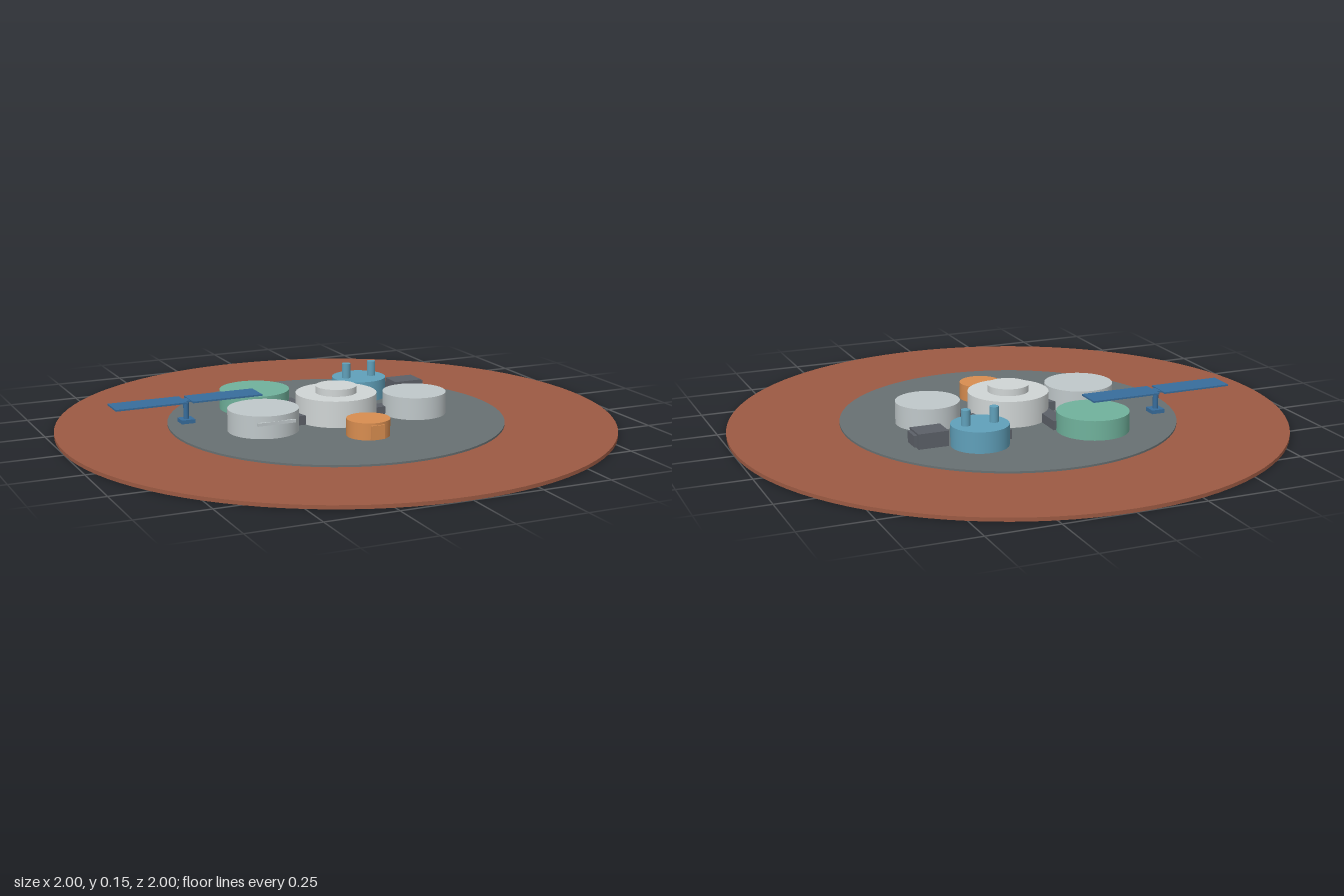
import * as THREE from 'three';

const mat = (color) => new THREE.MeshStandardMaterial({ color });
const M = {
  soil: mat(0x9c5a43), pad: mat(0x687072), hub: mat(0xd0d5d5), white: mat(0xc0c8ca),
  green: mat(0x70b29c), blue: mat(0x60a0ba), orange: mat(0xd88d50),
  solar: mat(0x386d9c), dark: mat(0x5c6068),
};

export function createModel() {
  const model = new THREE.Group();

  // Upright cylinder from y0 to y1
  const drum = (name, m, x, z, r, y0, y1, seg = 48) => {
    const mesh = new THREE.Mesh(new THREE.CylinderGeometry(r, r, y1 - y0, seg), m);
    mesh.position.set(x, (y0 + y1) / 2, z);
    mesh.name = name;
    model.add(mesh);
  };
  // Box given by its limits on each axis
  const box = (name, m, x0, x1, y0, y1, z0, z1) => {
    const mesh = new THREE.Mesh(new THREE.BoxGeometry(x1 - x0, y1 - y0, z1 - z0), m);
    mesh.position.set((x0 + x1) / 2, (y0 + y1) / 2, (z0 + z1) / 2);
    mesh.name = name;
    model.add(mesh);
  };

  // Ground and landing pad
  drum('ground', M.soil, 0, 0, 1, 0, 0.013, 96);
  drum('pad', M.pad, 0, 0, 0.603, 0.008, 0.02, 96);

  // Central hub with raised cap
  drum('hub', M.hub, 0, 0, 0.145, 0.02, 0.115);
  drum('hubCap', M.hub, 0, 0, 0.074, 0.115, 0.14);

  // Surrounding modules
  drum('rightHabitat', M.white, -0.3, 0.045, 0.125, 0.02, 0.1);
  drum('leftHabitat', M.white, 0.29, 0.047, 0.115, 0.02, 0.1);
  drum('greenhouse', M.green, -0.21, -0.263, 0.128, 0.02, 0.09);
  drum('plant', M.blue, 0.215, -0.263, 0.101, 0.02, 0.095);
  drum('airlock', M.orange, 0.004, 0.257, 0.076, 0.02, 0.08);

  // Window band, airlock door and plant chimneys
  box('windowBand', M.white, -0.37, -0.23, 0.069, 0.08, 0.163, 0.171);
  box('airlockDoor', M.orange, -0.021, 0.029, 0.022, 0.072, 0.325, 0.337);
  for (const x of [0.163, 0.267]) drum('chimney', M.blue, x, -0.263, 0.016, 0.09, 0.15, 20);

  // Generator beside the plant
  box('generator', M.dark, 0.325, 0.434, 0.027, 0.081, -0.257, -0.17);
  box('generatorVent', M.dark, 0.43, 0.446, 0.034, 0.074, -0.246, -0.182);

  // Corridors joining the modules to the hub
  box('rightCorridor', M.dark, -0.22, -0.1, 0.02, 0.053, -0.005, 0.045);
  box('leftCorridor', M.dark, 0.1, 0.22, 0.02, 0.053, -0.005, 0.045);
  box('frontCorridor', M.dark, -0.022, 0.022, 0.02, 0.053, 0.12, 0.2);
  box('greenhouseCorridor', M.dark, -0.13, -0.08, 0.02, 0.053, -0.22, -0.04);
  box('plantCorridor', M.dark, 0.092, 0.157, 0.02, 0.053, -0.25, -0.02);

  // Solar array on its mast
  const sx = -0.51, sz = -0.164;
  box('solarFoot', M.solar, sx - 0.025, sx + 0.025, 0.02, 0.034, sz - 0.025, sz + 0.025);
  drum('solarMast', M.solar, sx, sz, 0.01, 0.03, 0.1, 16);
  box('solarJoint', M.solar, sx - 0.014, sx + 0.014, 0.097, 0.103, sz - 0.02, sz + 0.02);
  for (const s of [-1, 1]) {
    const c = sx + s * 0.141;
    box('solarPanel', M.solar, c - 0.131, c + 0.131, 0.099, 0.105, sz - 0.049, sz + 0.049);
  }
  return model;
}
